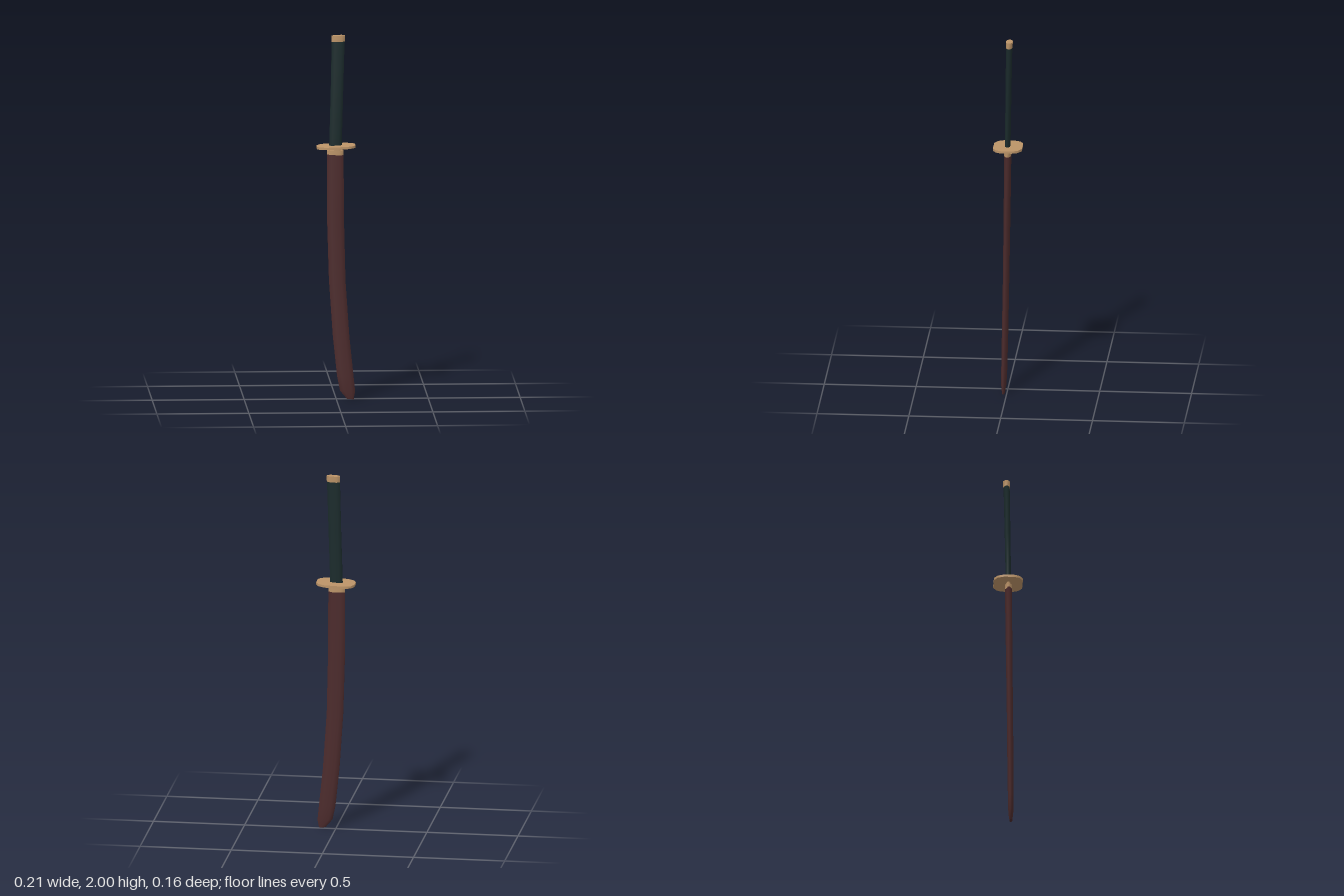
import * as THREE from 'three';

const mat = (name, color) => {
  const m = new THREE.MeshStandardMaterial({ color });
  m.name = name;
  return m;
};

// Flattened octagon shared by the grip and scabbard, in half-width units
const OVAL = [[1, 0.35], [0.5, 1], [-0.5, 1], [-1, 0.35], [-1, -0.35], [-0.5, -1], [0.5, -1], [1, -0.35]];
// Rounded guard plate outline
const PLATE = [[0.104, 0.03], [0.09, 0.058], [0.055, 0.078], [-0.055, 0.078], [-0.09, 0.06], [-0.106, 0.03],
  [-0.106, -0.028], [-0.091, -0.06], [-0.057, -0.079], [0.051, -0.08], [0.088, -0.061], [0.103, -0.03]];

// Skin an outline through sections [y, centreX, centreZ, halfX, halfZ], bottom to top,
// with smooth sides and flat, sharp-edged caps
function loft(name, material, outline, sections, slope = 0) {
  const n = outline.length, pos = [], idx = [];
  const addRing = ([y, cx, cz, hx, hz]) => outline.forEach(([u, v]) =>
    pos.push(cx + u * hx, y + slope * u * hx, cz + v * hz));
  sections.forEach(addRing);
  for (let i = 0; i < sections.length - 1; i++) {
    for (let j = 0; j < n; j++) {
      const a = i * n + j, b = i * n + (j + 1) % n;
      idx.push(a, a + n, b, b, a + n, b + n);
    }
  }
  [sections[0], sections[sections.length - 1]].forEach((s, top) => {
    const o = pos.length / 3;
    addRing(s);
    for (let j = 1; j < n - 1; j++) {
      if (top) idx.push(o, o + j + 1, o + j);
      else idx.push(o, o + j, o + j + 1);
    }
  });
  const g = new THREE.BufferGeometry();
  g.setAttribute('position', new THREE.Float32BufferAttribute(pos, 3));
  g.setIndex(idx);
  g.computeVertexNormals();
  const mesh = new THREE.Mesh(g, material);
  mesh.name = name;
  return mesh;
}

export function createModel() {
  const tan = mat('tan fittings', 0xbc9468);
  const red = mat('dark red lacquer', 0x4c2b2c);
  const dark = mat('dark green wrap', 0x1b2b2c);
  const group = new THREE.Group();
  group.name = 'sheathed sword';

  group.add(
    // Curved scabbard with a blunt tapered tip
    loft('scabbard', red, OVAL, [
      [0.006, 0.076, 0.018, 0.018, 0.007],
      [0.05, 0.061, 0.017, 0.041, 0.013],
      [0.13, 0.049, 0.016, 0.045, 0.015],
      [0.35, 0.026, 0.013, 0.045, 0.016],
      [0.66, 0.005, 0.009, 0.045, 0.016],
      [1.0, -0.004, 0.005, 0.046, 0.017],
      [1.345, -0.005, 0.001, 0.045, 0.018],
    ], -0.3 * 0.2),
    // Scabbard mouth and the blade collar above it
    loft('scabbardMouth', tan, OVAL, [
      [1.343, -0.005, 0.001, 0.045, 0.018],
      [1.37, -0.005, 0.001, 0.045, 0.018],
    ], 0.02),
    loft('bladeCollar', tan, OVAL, [
      [1.365, -0.005, 0.001, 0.035, 0.012],
      [1.388, -0.005, 0.001, 0.035, 0.012],
    ], 0.02),
    // Guard plate, tipped slightly with the grip
    loft('guard', tan, PLATE, [
      [1.384, 0, 0, 1, 1],
      [1.397, 0, 0, 1, 1],
    ], 0.035),
    // Leaning grip and its end cap
    loft('grip', dark, OVAL, [
      [1.392, -0.004, 0.001, 0.034, 0.014],
      [1.68, 0.004, -0.003, 0.034, 0.015],
      [1.967, 0.011, -0.008, 0.035, 0.016],
    ], 0.03),
    loft('pommel', tan, OVAL, [
      [1.965, 0.011, -0.008, 0.036, 0.017],
      [1.999, 0.012, -0.009, 0.036, 0.018],
    ], 0.03),
  );
  return group;
}
